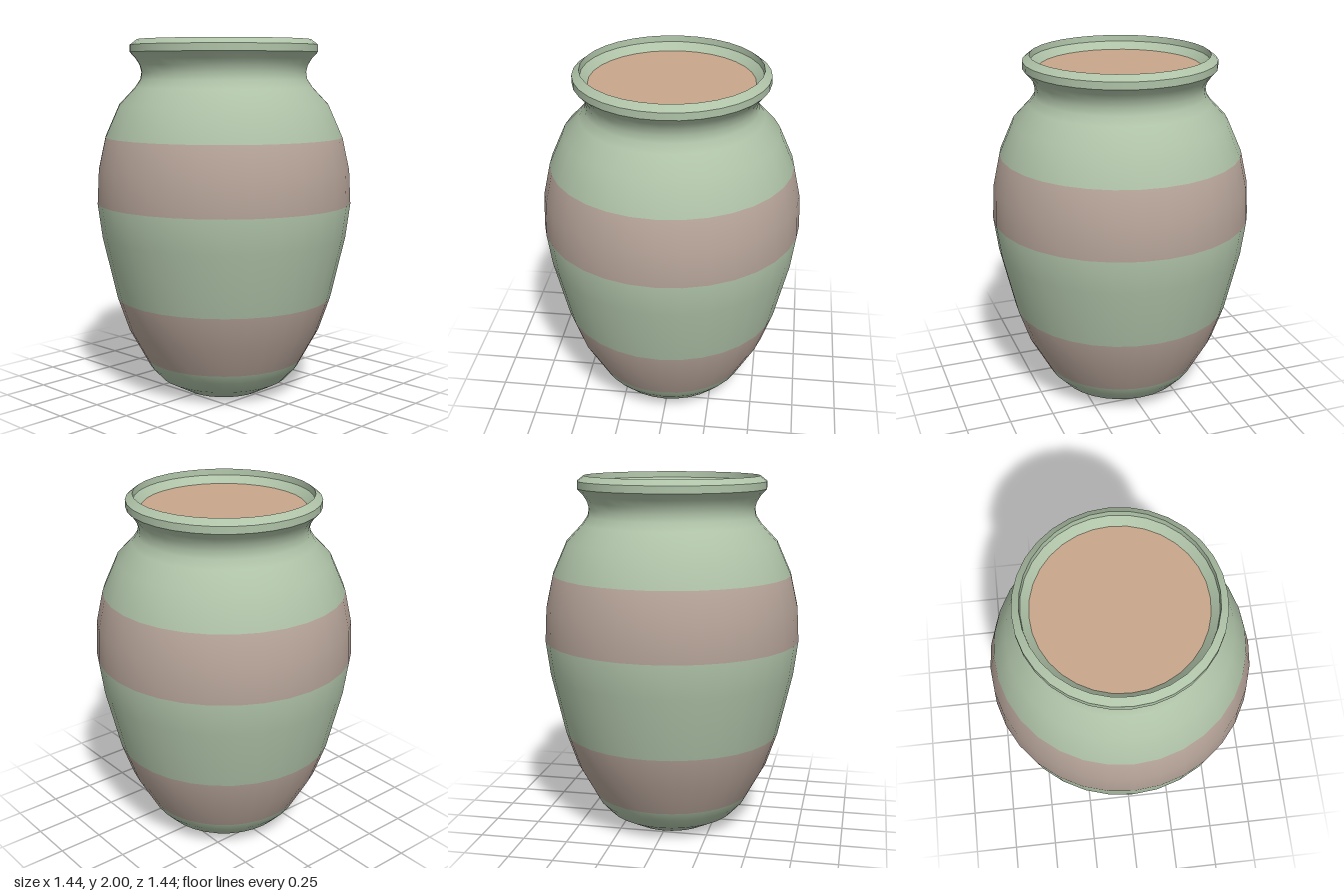
import * as THREE from 'three';

const SIDES = 32;
const green = new THREE.MeshStandardMaterial({ color: 0xafc3a8, side: THREE.DoubleSide });
const brown = new THREE.MeshStandardMaterial({ color: 0xb6a499, side: THREE.DoubleSide });
const clay = new THREE.MeshStandardMaterial({ color: 0xc9a78c, side: THREE.DoubleSide });

const lathe = (points) =>
  new THREE.LatheGeometry(points.map(([r, y]) => new THREE.Vector2(r, y)), SIDES);

// Body outline [radius, height] from the centre of the base to the flare under the lip
const BODY = [
  [0, 0], [0.235, 0], [0.365, 0.07], [0.43, 0.14], [0.457, 0.19],
  [0.55, 0.36], [0.615, 0.55], [0.695, 0.9], [0.72, 1.09],
  [0.71, 1.28], [0.67, 1.46], [0.59, 1.64], [0.5, 1.735],
  [0.47, 1.78], [0.463, 1.82], [0.473, 1.86], [0.495, 1.895], [0.527, 1.93],
];

// Lip outline: outer face, chamfer, inner wall, inner bevel
const LIP = [[0.527, 1.93], [0.527, 1.97], [0.488, 2], [0.485, 1.965], [0.445, 1.925]];

// Coloured bands of the body, each up to a given height
const BANDS = [
  ['foot', 0.19, green], ['lowerBand', 0.55, brown], ['belly', 1.09, green],
  ['upperBand', 1.46, brown], ['shoulderAndNeck', 1.93, green],
];

export function createModel() {
  const group = new THREE.Group();
  const add = (name, geometry, material) => {
    const mesh = new THREE.Mesh(geometry, material);
    mesh.name = name;
    group.add(mesh);
    return mesh;
  };

  // Body: one smooth surface cut into bands, so shading runs on across the borders
  const body = lathe(BODY);
  const pos = body.attributes.position;
  const index = body.index.array;
  let bottom = 0;
  for (const [name, top, material] of BANDS) {
    const faces = [];
    for (let i = 0; i < index.length; i += 3) {
      const tri = [index[i], index[i + 1], index[i + 2]];
      const middle = tri.reduce((sum, v) => sum + pos.getY(v), 0) / 3;
      if (middle >= bottom && middle < top) faces.push(...tri);
    }
    const band = body.clone();
    band.setIndex(faces);
    add(name, band.toNonIndexed(), material);
    bottom = top;
  }

  // Lip: separate rings keep its edges sharp
  const lip = new THREE.Group();
  lip.name = 'lip';
  ['lipOuterFace', 'lipChamfer', 'lipInnerWall', 'lipInnerBevel'].forEach((name, i) => {
    lip.add(add(name, lathe([LIP[i], LIP[i + 1]]), green));
  });
  group.add(lip);

  // Flat filling closing the mouth
  const filling = add('filling', new THREE.CircleGeometry(0.445, SIDES), clay);
  filling.rotation.x = -Math.PI / 2;
  filling.position.y = 1.925;

  return group;
}
